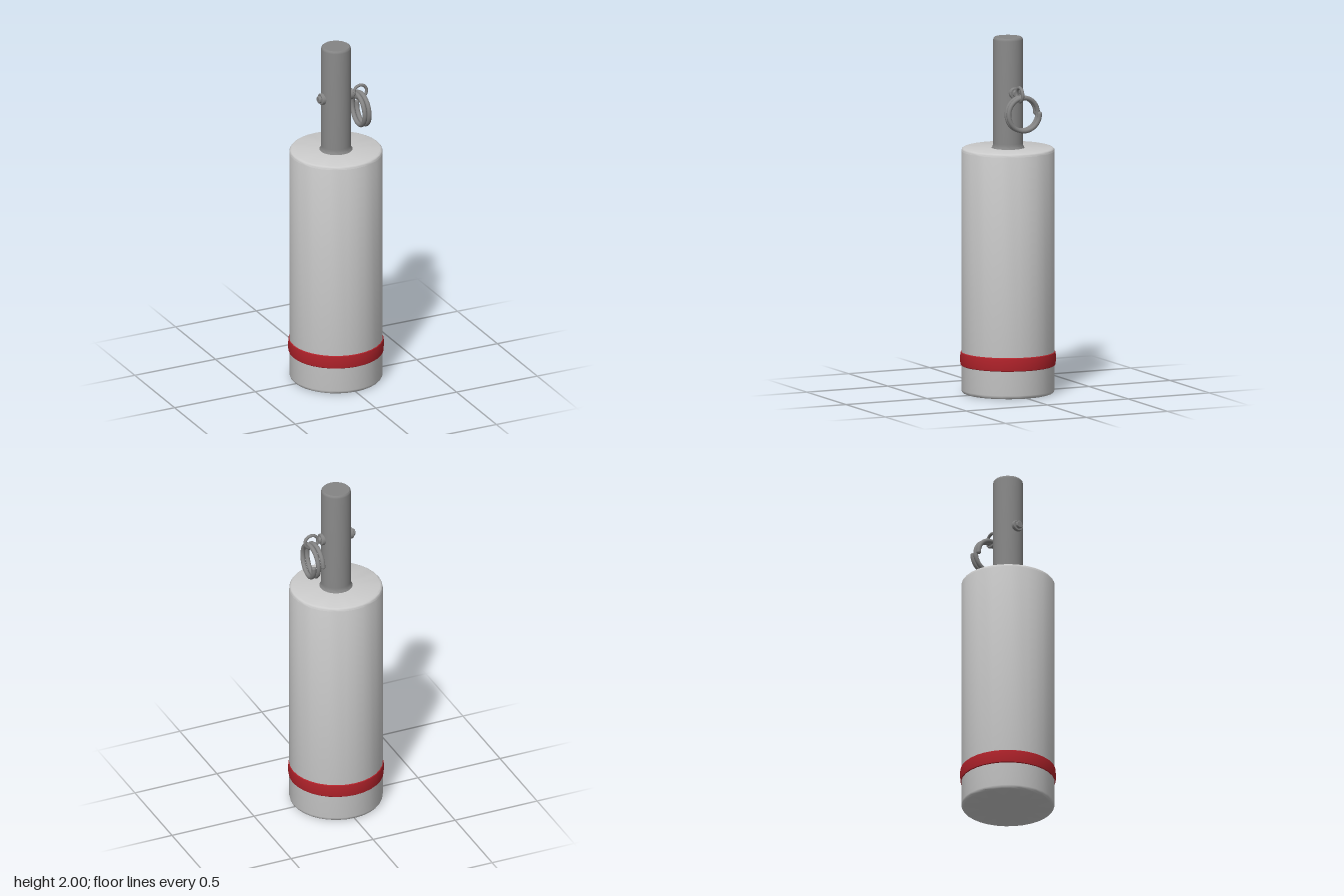
import * as THREE from 'three';
import { toCreasedNormals } from 'three/addons/utils/BufferGeometryUtils.js';

const paint = (color) => new THREE.MeshStandardMaterial({ color });
const light = paint(0xcccccc), dark = paint(0x858585), red = paint(0xb0222a);

export function createModel() {
  const model = new THREE.Group();
  const add = (name, geometry, material, parent = model) => {
    const mesh = new THREE.Mesh(geometry, material);
    mesh.name = name;
    parent.add(mesh);
    return mesh;
  };
  // Turned part from [radius, height] pairs, bottom to top
  const turned = (profile, sides) => toCreasedNormals(
    new THREE.LatheGeometry(profile.map(([r, y]) => new THREE.Vector2(r, y)), sides), 0.6);

  // Cylinder body with small rounded edges
  add('body', turned([
    [0, 0], [0.245, 0], [0.252, 0.003], [0.257, 0.009], [0.26, 0.02],
    [0.26, 1.36], [0.258, 1.369], [0.253, 1.375], [0.245, 1.378], [0, 1.378],
  ], 32), light);

  // Painted band around the foot
  add('band', turned([
    [0.258, 0.155], [0.264, 0.16], [0.266, 0.175], [0.266, 0.215], [0.264, 0.23], [0.258, 0.235],
  ], 32), red);

  // Neck with a flared foot and softened top
  add('neck', turned([
    [0.095, 1.376], [0.089, 1.381], [0.085, 1.39], [0.083, 1.405],
    [0.083, 1.985], [0.081, 1.994], [0.075, 2], [0, 2],
  ], 32), dark);

  // Cross pin: a stepped boss on each side of the neck
  const pin = new THREE.Group();
  pin.name = 'crossPin';
  pin.position.y = 1.695;
  model.add(pin);
  for (const side of [-1, 1]) {
    const boss = add(side < 0 ? 'rightBoss' : 'leftBoss', turned([
      [0.033, 0.07], [0.033, 0.095], [0.03, 0.098], [0.02, 0.098], [0.02, 0.109], [0.017, 0.112], [0, 0.112],
    ], 20), dark, pin);
    boss.rotation.z = -side * Math.PI / 2;
  }

  // Small link hanging from the pin
  add('link', new THREE.TorusGeometry(0.039, 0.009, 10, 32), dark).position.set(0.15, 1.695, 0);

  // Split ring: two turns of a coil around x, starting and ending at the back
  const coil = [];
  for (let i = 0; i <= 48; i++) {
    const a = (i / 48) * Math.PI * 4;
    coil.push(new THREE.Vector3(0.127 + 0.056 * i / 48,
      1.585 + 0.092 * Math.sin(a), -0.016 - 0.092 * Math.cos(a)));
  }
  const splitRing = new THREE.Group();
  splitRing.name = 'splitRing';
  model.add(splitRing);
  add('coil', new THREE.TubeGeometry(new THREE.CatmullRomCurve3(coil), 96, 0.013, 10), dark, splitRing);
  for (const p of [coil[0], coil[48]])
    add('coilEnd', new THREE.SphereGeometry(0.013, 10, 8), dark, splitRing).position.copy(p);

  return model;
}
